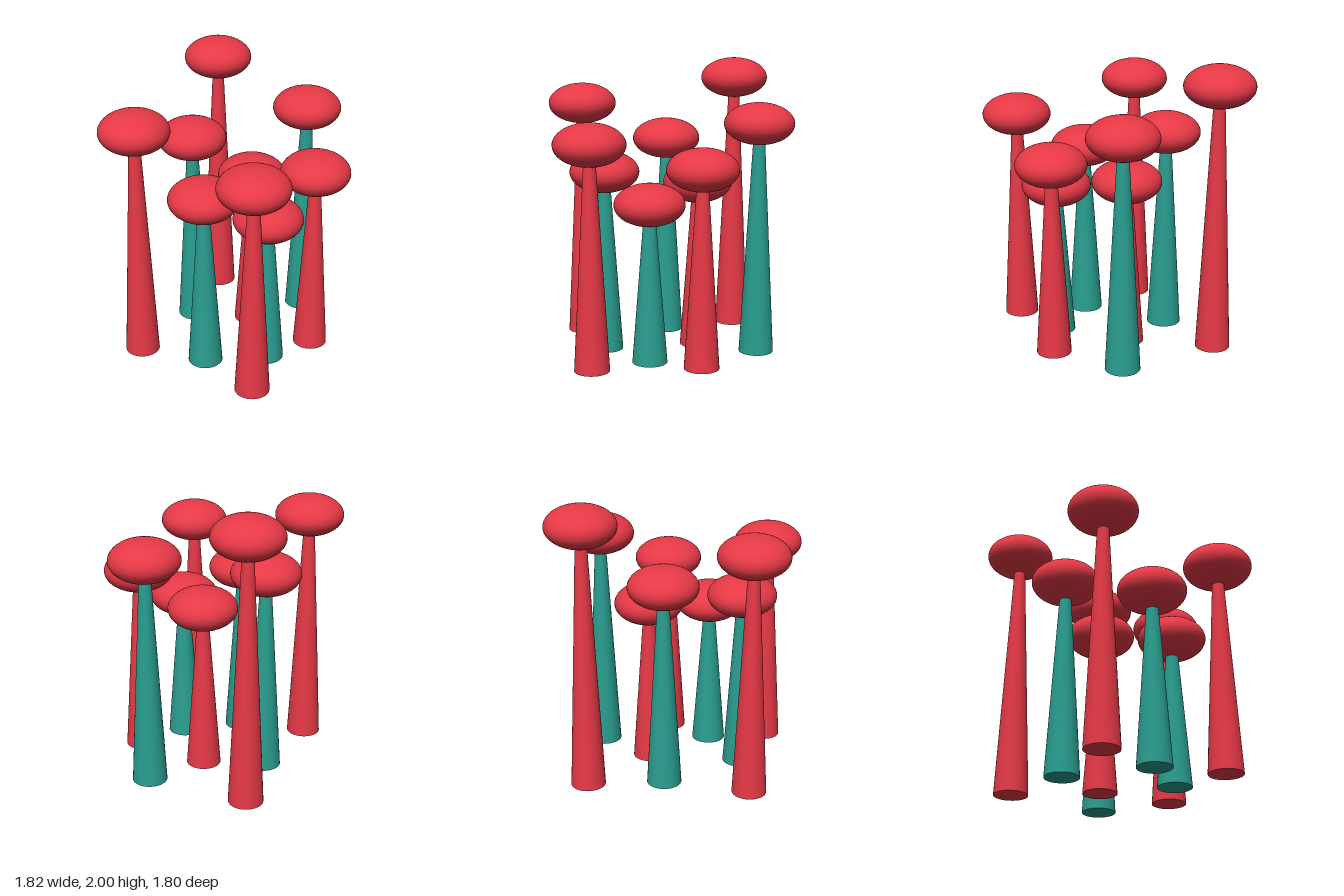
import * as THREE from 'three';

export function createModel() {
  const model = new THREE.Group();
  model.name = 'stalkCluster';

  const red = new THREE.MeshStandardMaterial({ color: 0xe63946 });
  red.name = 'red';
  const teal = new THREE.MeshStandardMaterial({ color: 0x2a9d8f });
  teal.name = 'teal';

  // Flattened ball shared by every stalk
  const capGeometry = new THREE.SphereGeometry(0.24, 40, 24).scale(1, 0.596, 1);

  // x, z, height of the cap's centre, stem colour
  const stalks = [
    [-0.67, -0.35, 1.857, red],
    [-0.02, -0.66, 1.605, teal],
    [-0.075, -0.22, 1.178, red],
    [-0.37, 0.085, 1.435, teal],
    [-0.19, 0.66, 1.69, red],
    [0.19, 0.375, 1.265, teal],
    [0.4, -0.005, 1.093, teal],
    [0.435, -0.375, 1.35, red],
    [0.67, 0.32, 1.52, red],
  ];

  for (const [x, z, height, stemMaterial] of stalks) {
    const stalk = new THREE.Group();
    stalk.name = 'stalk';
    stalk.position.set(x, 0, z);

    // Tapered stem, ending inside the cap
    const stem = new THREE.Mesh(new THREE.CylinderGeometry(0.034, 0.12, height, 32), stemMaterial);
    stem.name = 'stem';
    stem.position.y = height / 2;

    const cap = new THREE.Mesh(capGeometry, red);
    cap.name = 'cap';
    cap.position.y = height;

    stalk.add(stem, cap);
    model.add(stalk);
  }
  return model;
}
